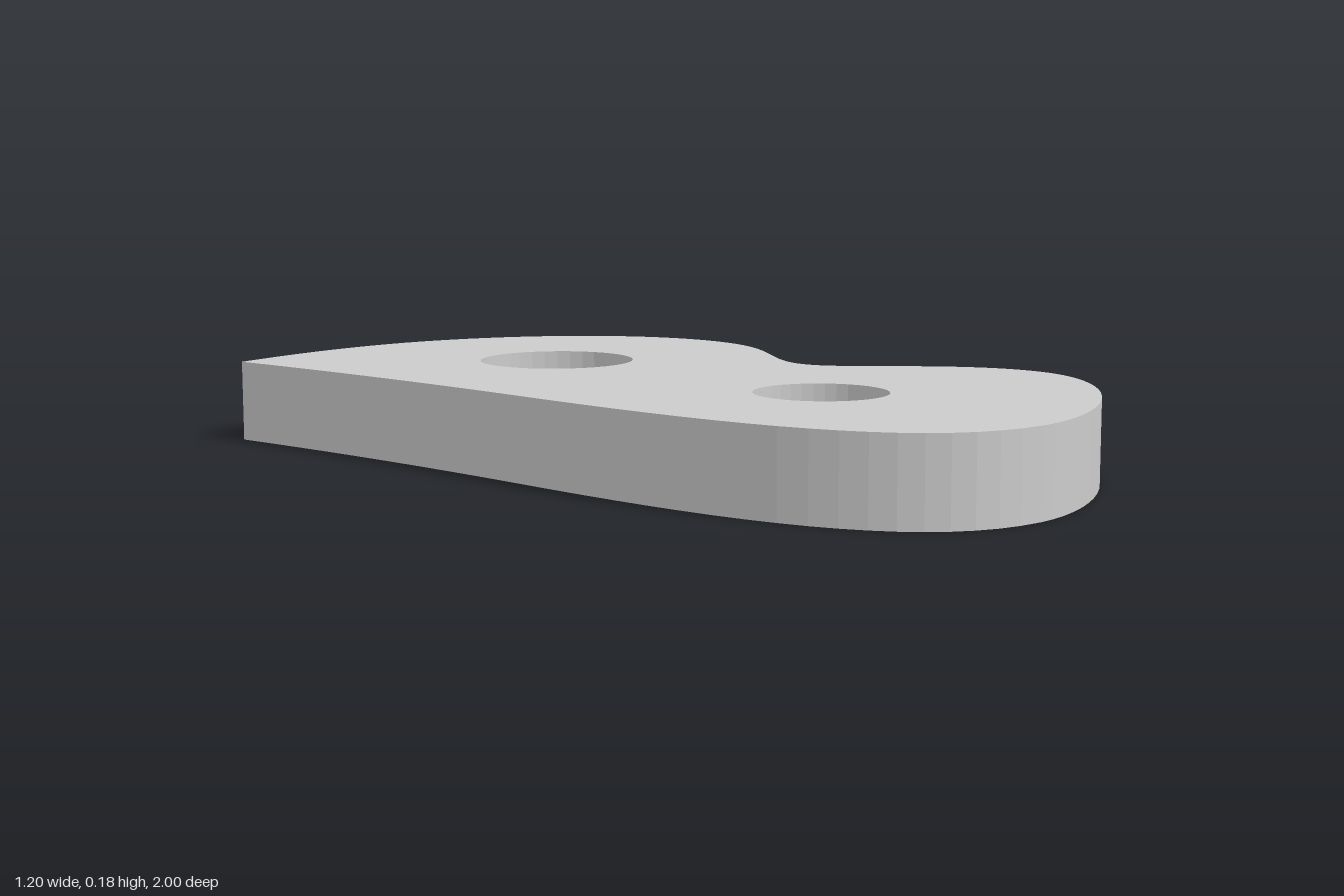
import * as THREE from 'three';

const THICKNESS = 0.184;

export function createModel() {
  const group = new THREE.Group();
  group.name = 'plate';

  // Outline in plan; the shape's y is -z in the model
  const outline = new THREE.Shape();
  const curve = (ax, az, bx, bz, x, z) => outline.bezierCurveTo(ax, -az, bx, -bz, x, -z);
  outline.moveTo(-0.602, 0.92);
  curve(-0.46, -0.965, -0.30, -1.0, -0.15, -1.0); // back edge
  curve(0.22, -1.0, 0.515, -0.76, 0.515, -0.47); // back lobe
  curve(0.515, -0.25, 0.318, -0.12, 0.318, 0.01); // into the waist
  curve(0.318, 0.14, 0.602, 0.24, 0.602, 0.48); // out of the waist
  curve(0.602, 0.71, 0.18, 1.0, -0.06, 1.0); // front lobe
  curve(-0.41, 1.0, -0.485, 0.6, -0.51, 0); // rounded front of the long side
  curve(-0.525, -0.35, -0.56, -0.65, -0.602, -0.92); // long side to the corner

  // Two round through-holes, wound opposite to the outline
  for (const [x, z, r] of [[-0.039, -0.447, 0.179], [-0.014, 0.386, 0.144]]) {
    const hole = new THREE.Path();
    hole.absarc(x, -z, r, 0, Math.PI * 2, false);
    outline.holes.push(hole);
  }

  const geometry = new THREE.ExtrudeGeometry(outline, {
    depth: THICKNESS, bevelEnabled: false, curveSegments: 18,
  });
  geometry.rotateX(-Math.PI / 2); // lay the plate flat on the ground

  const plate = new THREE.Mesh(geometry, new THREE.MeshStandardMaterial({ color: 0xcccccc }));
  plate.name = 'curvedPlateWithHoles';
  group.add(plate);
  return group;
}
